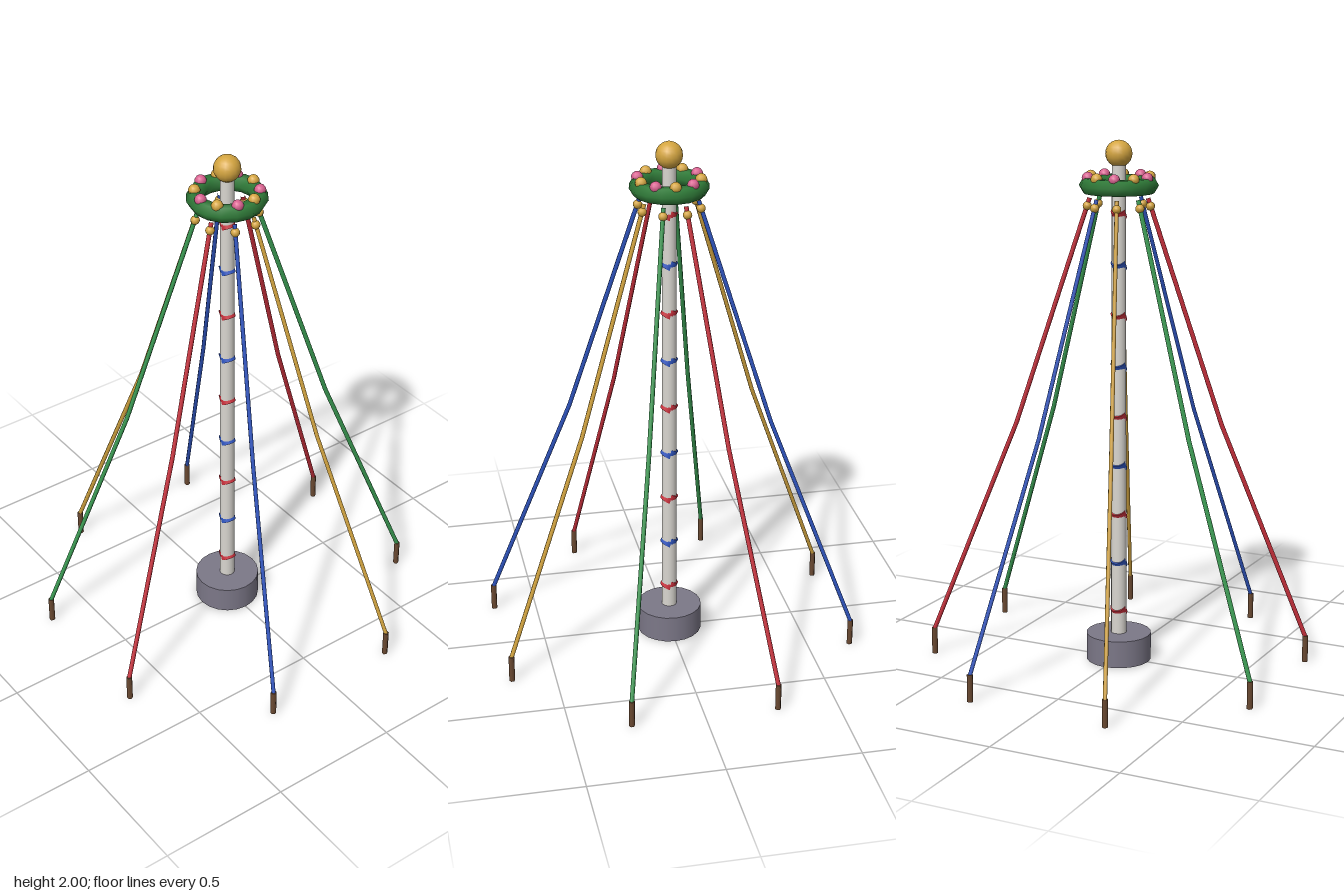
import * as THREE from 'three';

const mat = (name, color) => {
  const m = new THREE.MeshStandardMaterial({ color });
  m.name = name;
  return m;
};

export function createModel() {
  const stone = mat('stone grey', 0x7c7888);
  const white = mat('pole white', 0xd9d6d0);
  const red = mat('red', 0xc8303c);
  const blue = mat('blue', 0x2f55c0);
  const green = mat('ribbon green', 0x3a9a52);
  const gold = mat('gold', 0xd4a540);
  const leaf = mat('garland green', 0x2f7a38);
  const pink = mat('pink', 0xd8608f);
  const wood = mat('wood brown', 0x6b4a32);

  const model = new THREE.Group();
  model.name = 'ribbonPole';
  const add = (name, geometry, material, x = 0, y = 0, z = 0) => {
    const mesh = new THREE.Mesh(geometry, material);
    mesh.name = name;
    mesh.position.set(x, y, z);
    model.add(mesh);
    return mesh;
  };

  // Base, tapered pole and finial ball
  add('base', new THREE.CylinderGeometry(0.125, 0.125, 0.105, 20), stone, 0, 0.0525, 0);
  const poleBottom = 0.02, poleTop = 1.92;
  const poleRadius = (y) => THREE.MathUtils.mapLinear(y, poleBottom, poleTop, 0.03, 0.026);
  add('pole', new THREE.CylinderGeometry(0.026, 0.03, poleTop - poleBottom, 16), white,
    0, (poleTop + poleBottom) / 2, 0);
  add('finial', new THREE.SphereGeometry(0.05, 16, 12), gold, 0, 1.95, 0);

  // Tilted bands, rising towards the front
  for (let i = 0; i < 9; i++) {
    const y = 0.195 + i * 0.1915;
    const r = poleRadius(y) + 0.0005;
    const band = add('band', new THREE.CylinderGeometry(r, r, 0.036, 16), i % 2 ? blue : red, 0, y, 0);
    band.rotation.x = -0.5;
  }

  // Garland ring with flowers
  const ring = add('garland', new THREE.TorusGeometry(0.115, 0.033, 6, 16), leaf, 0, 1.834, 0);
  ring.rotation.x = Math.PI / 2;
  const flower = new THREE.SphereGeometry(0.022, 10, 8);
  for (let i = 0; i < 10; i++) {
    const a = (i * Math.PI) / 5;
    add('flower', flower, i % 2 ? pink : gold, Math.cos(a) * 0.116, 1.863, Math.sin(a) * 0.116);
  }

  // Ribbons, each with a gold bead at the top and a stake at the ground
  const ribbonColors = [green, gold, blue, red];
  const bead = new THREE.SphereGeometry(0.017, 10, 8);
  const stake = new THREE.CylinderGeometry(0.011, 0.011, 0.105, 6);
  for (let i = 0; i < 8; i++) {
    const a = ((i + 0.5) * Math.PI) / 4;
    const at = (r, y) => new THREE.Vector3(Math.cos(a) * r, y, Math.sin(a) * r);
    const curve = new THREE.QuadraticBezierCurve3(at(0.108, 1.787), at(0.408, 0.797), at(0.72, 0.1));
    add('ribbon', new THREE.TubeGeometry(curve, 2, 0.0085, 6), ribbonColors[i % 4]);
    const b = at(0.117, 1.757), s = at(0.72, 0.0525);
    add('bead', bead, gold, b.x, b.y, b.z);
    add('stake', stake, wood, s.x, s.y, s.z);
  }

  return model;
}
